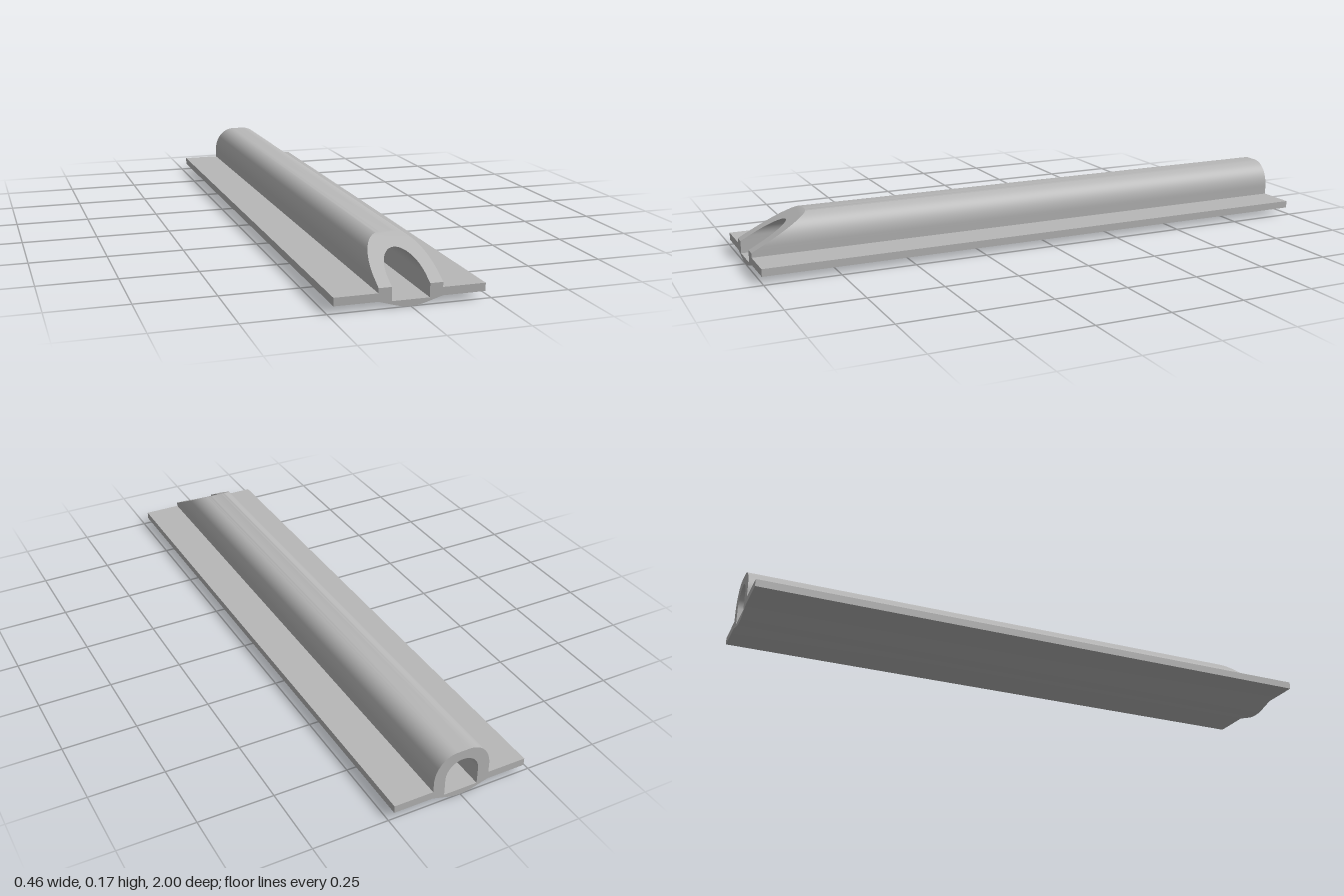
import * as THREE from 'three';
import { toCreasedNormals } from 'three/addons/utils/BufferGeometryUtils.js';

const SEAM = 0.062;  // height where the slanted front cut begins
const CROWN = 0.168; // top of the tube
const CUT = 0.2;     // length of the slanted cut

// Extrude a profile along z, drop the hidden seam faces and smooth gentle edges.
function extrudeProfile(shape, reshape) {
  const geo = new THREE.ExtrudeGeometry(shape, { depth: 2, bevelEnabled: false, curveSegments: 24 });
  geo.translate(0, 0, -1);
  const p = geo.attributes.position;
  const kept = [];
  for (let i = 0; i < p.count; i += 3) {
    const seam = [0, 1, 2].every((k) => Math.abs(p.getY(i + k) - SEAM) < 1e-5);
    if (seam) continue;
    for (let k = 0; k < 3; k++) {
      const v = new THREE.Vector3().fromBufferAttribute(p, i + k);
      if (reshape) reshape(v);
      kept.push(v);
    }
  }
  const out = new THREE.BufferGeometry().setFromPoints(kept);
  // Enlarged while creasing, so that close vertices stay distinct
  out.scale(1000, 1000, 1000);
  const creased = toCreasedNormals(out, Math.PI / 6);
  creased.scale(0.001, 0.001, 0.001);
  return creased;
}

// Flanges, channel floor with rounded keel, and the lower channel walls
function baseShape() {
  const s = new THREE.Shape();
  s.moveTo(0.231, 0.022);
  s.lineTo(0.231, 0.047);
  s.lineTo(0.098, 0.047);
  s.lineTo(0.098, SEAM);
  s.lineTo(0.058, SEAM);
  s.lineTo(0.058, 0.02);
  s.lineTo(-0.058, 0.02);
  s.lineTo(-0.058, SEAM);
  s.lineTo(-0.098, SEAM);
  s.lineTo(-0.098, 0.047);
  s.lineTo(-0.231, 0.047);
  s.lineTo(-0.231, 0.022);
  s.lineTo(-0.098, 0.022);
  s.lineTo(-0.05, 0.008);
  s.bezierCurveTo(-0.03, 0.002, -0.018, 0, 0, 0);
  s.bezierCurveTo(0.018, 0, 0.03, 0.002, 0.05, 0.008);
  s.lineTo(0.098, 0.022);
  s.closePath();
  return s;
}

// Rounded arch above the seam
function archShape() {
  const s = new THREE.Shape();
  s.moveTo(0.098, SEAM);
  s.lineTo(0.098, 0.078);
  s.bezierCurveTo(0.098, 0.128, 0.066, CROWN, 0.02, CROWN);
  s.lineTo(-0.02, CROWN);
  s.bezierCurveTo(-0.066, CROWN, -0.098, 0.128, -0.098, 0.078);
  s.lineTo(-0.098, SEAM);
  s.lineTo(-0.058, SEAM);
  s.lineTo(-0.058, 0.078);
  s.absarc(0, 0.078, 0.058, Math.PI, 0, true);
  s.lineTo(0.058, SEAM);
  s.closePath();
  return s;
}

export function createModel() {
  const group = new THREE.Group();
  group.name = 'flangedChannel';
  const grey = new THREE.MeshStandardMaterial({ color: 0xb8b8b8 });
  grey.name = 'grey';

  const base = new THREE.Mesh(extrudeProfile(baseShape()), grey);
  base.name = 'flangedBase';

  // Front end slopes back towards the crown
  const arch = new THREE.Mesh(extrudeProfile(archShape(), (v) => {
    if (v.z > 0) v.z -= CUT * (v.y - SEAM) / (CROWN - SEAM);
  }), grey);
  arch.name = 'archedTube';

  group.add(base, arch);
  return group;
}
